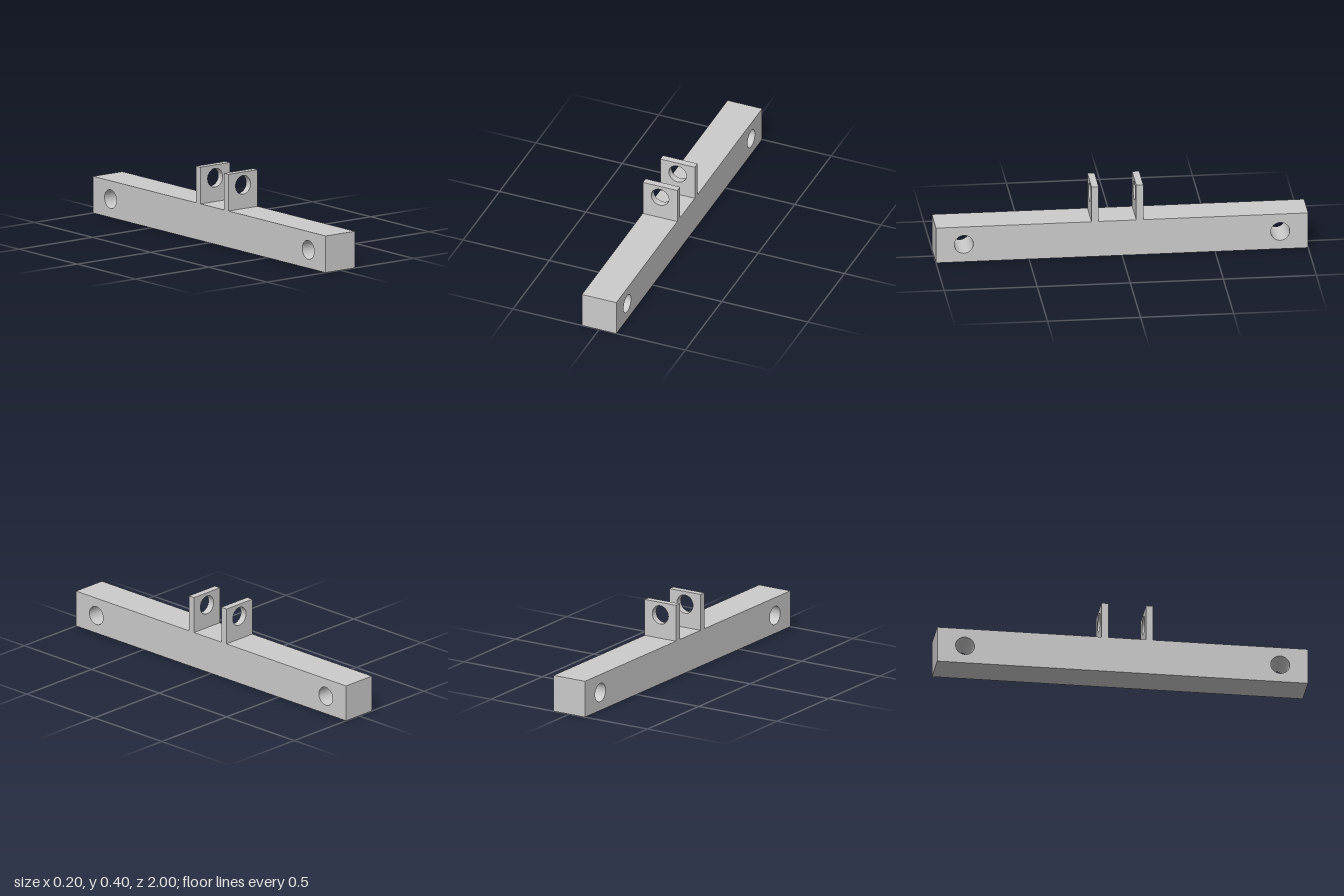
import * as THREE from 'three';
import { toCreasedNormals } from 'three/addons/utils/BufferGeometryUtils.js';

const material = new THREE.MeshStandardMaterial({ color: 0xcccccc });

// Rectangular plate with round through-holes, extruded and centred in depth
function drilledPlate(name, width, y0, y1, depth, holes, radius) {
  const w = width / 2;
  const shape = new THREE.Shape([
    new THREE.Vector2(-w, y0), new THREE.Vector2(w, y0),
    new THREE.Vector2(w, y1), new THREE.Vector2(-w, y1),
  ]);
  for (const [x, y] of holes) {
    shape.holes.push(new THREE.Path().absarc(x, y, radius, 0, Math.PI * 2, true));
  }
  const geometry = new THREE.ExtrudeGeometry(shape, { depth, bevelEnabled: false, curveSegments: 48 });
  geometry.translate(0, 0, -depth / 2);
  const mesh = new THREE.Mesh(toCreasedNormals(geometry, Math.PI / 6), material);
  mesh.name = name;
  return mesh;
}

export function createModel() {
  const group = new THREE.Group();
  group.name = 'mountingBar';

  // Long square bar with a cross hole near each end
  const bar = drilledPlate('bar', 2, 0, 0.2, 0.2, [[-0.85, 0.1], [0.85, 0.1]], 0.051);
  bar.rotation.y = -Math.PI / 2;
  group.add(bar);

  // Two upright lugs with aligned holes
  for (const [name, z] of [['frontLug', 0.145], ['backLug', -0.095]]) {
    const lug = drilledPlate(name, 0.2, 0.2, 0.4, 0.038, [[0, 0.33]], 0.051);
    lug.position.z = z;
    group.add(lug);
  }
  return group;
}
